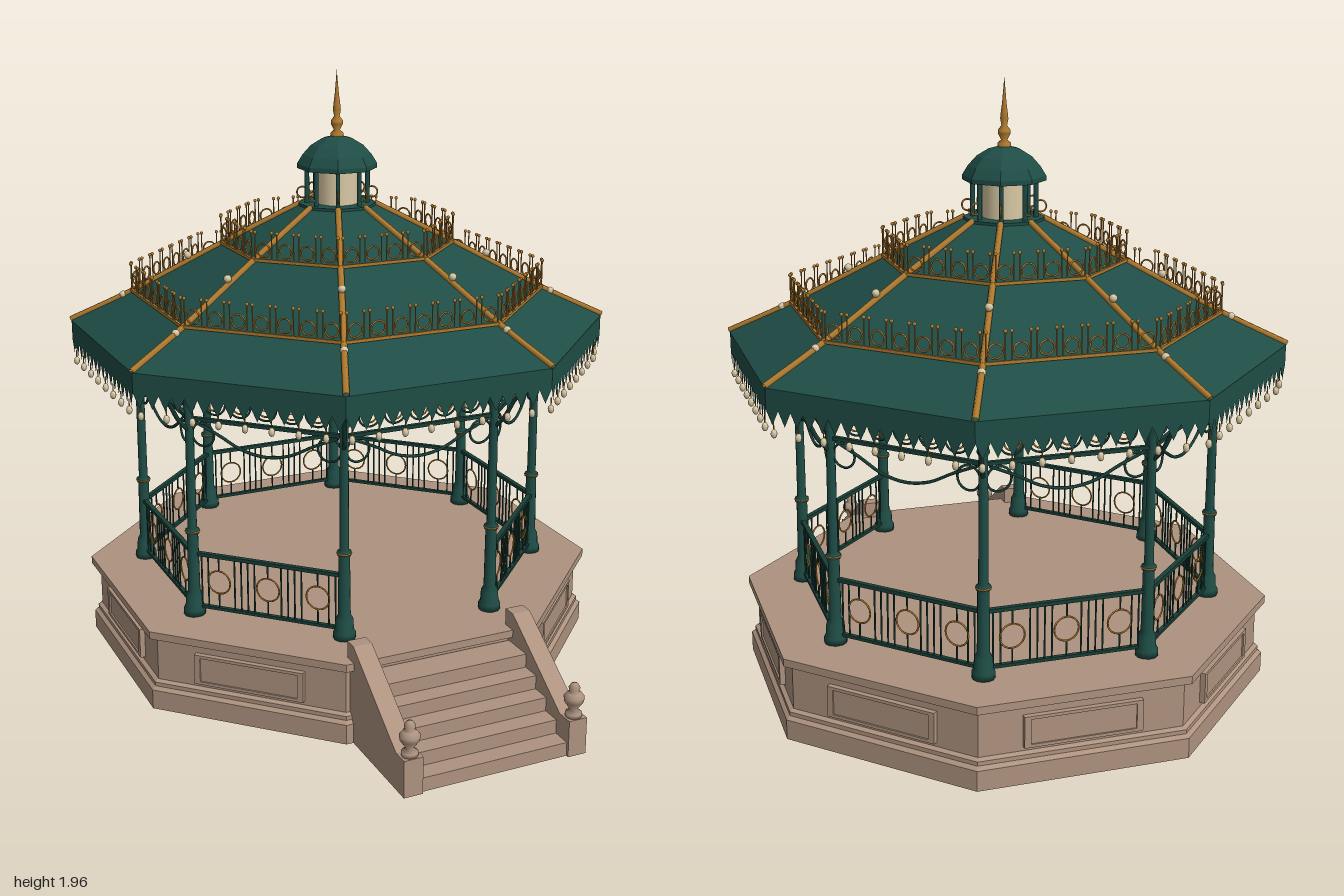
import * as THREE from 'three';

const mat = (name, color) => new THREE.MeshStandardMaterial({ name, color, side: THREE.DoubleSide });
const stone = mat('stone', 0xae937f);
const green = mat('green paint', 0x1f4d46);
const iron = mat('dark iron', 0x183d36);
const gold = mat('gilding', 0xb07a2e);
const cream = mat('cream glass', 0xd9c9a5);

const SIDES = 8;
const STEP = Math.PI / 4;
const TAN = Math.tan(Math.PI / 8);
const SEC = 1 / Math.cos(Math.PI / 8);
const FLOOR = 0.27;

function add(parent, name, geo, material, x = 0, y = 0, z = 0) {
  const m = new THREE.Mesh(geo, material);
  m.name = name;
  m.position.set(x, y, z);
  parent.add(m);
  return m;
}
const box = (w, h, d) => new THREE.BoxGeometry(w, h, d);
const ball = (r) => new THREE.SphereGeometry(r, 8, 6);
const ring = (r, t) => new THREE.TorusGeometry(r, t, 5, 20);
const rod = (r, h, n = 6) => new THREE.CylinderGeometry(r, r, h, n);
const lathe = (pts, n = 14) => new THREE.LatheGeometry(pts.map(([r, y]) => new THREE.Vector2(r, y)), n);
const tube = (pts, r, n = 16) => new THREE.TubeGeometry(
  new THREE.CatmullRomCurve3(pts.map((p) => new THREE.Vector3(...p))), n, r, 6);

// Faceted octagonal shell; profile given as [apothem, height]
function octagon(pts) {
  const v = pts.map(([a, y]) => new THREE.Vector2(a * SEC, y));
  const g = new THREE.LatheGeometry(v, SIDES, Math.PI / 8).toNonIndexed();
  g.computeVertexNormals();
  return g;
}

// Repeat a part around the octagon, from side number `first`
function around(parent, part, offset = 0, first = 0) {
  for (let k = first; k < SIDES; k++) {
    const c = part.clone();
    c.rotation.y = k * STEP + offset;
    parent.add(c);
  }
}
function group(name) {
  const g = new THREE.Group();
  g.name = name;
  return g;
}

function stairs() {
  const g = group('stairs');
  for (let i = 0; i < 5; i++) {
    const front = 0.98 - 0.063 * i;
    const depth = i === 4 ? front - 0.62 : front - 0.62;
    add(g, 'step', box(0.5, 0.045, depth), stone, 0, 0.0225 + 0.045 * i, front - depth / 2);
  }
  // Sloping cheek walls, profile drawn in z and y
  const s = new THREE.Shape();
  [[-0.595, 0], [-0.99, 0], [-0.99, 0.12], [-0.935, 0.12], [-0.64, 0.325], [-0.595, 0.325]]
    .forEach(([z, y], i) => (i ? s.lineTo(z, y) : s.moveTo(z, y)));
  const cheek = new THREE.ExtrudeGeometry(s, { depth: 0.062, bevelEnabled: false });
  cheek.translate(0, 0, -0.031).rotateY(Math.PI / 2);
  const urn = lathe([[0, 0], [0.026, 0], [0.026, 0.012], [0.012, 0.024], [0.03, 0.05], [0.032, 0.065],
    [0.022, 0.078], [0.014, 0.082], [0.018, 0.095], [0.01, 0.108], [0, 0.112]]);
  for (const x of [-0.277, 0.277]) {
    add(g, 'cheekWall', cheek, stone, x);
    add(g, 'urn', urn, stone, x, 0.12, 0.962);
  }
  return g;
}

function basePanel() {
  const g = group('basePanel');
  add(g, 'panelField', box(0.37, 0.1, 0.02), stone, 0, 0.16, 0.777);
  for (const s of [-1, 1]) {
    add(g, 'panelFrame', box(0.37, 0.01, 0.014), stone, 0, 0.16 + s * 0.045, 0.785);
    add(g, 'panelFrame', box(0.02, 0.1, 0.014), stone, s * 0.175, 0.16, 0.785);
  }
  return g;
}

function column() {
  const g = group('column');
  const R = 0.677;
  add(g, 'columnShaft', lathe([[0, 0.27], [0.036, 0.27], [0.036, 0.29], [0.03, 0.3], [0.028, 0.335], [0.02, 0.35],
    [0.018, 0.545], [0.023, 0.55], [0.023, 0.562], [0.015, 0.567], [0.014, 0.96], [0.02, 0.97], [0.016, 0.985],
    [0.028, 1.03], [0.028, 1.05], [0.018, 1.06], [0.018, 1.18]], 12), green, 0, 0, R);
  add(g, 'columnCollar', ring(0.022, 0.003).rotateX(Math.PI / 2), gold, 0, 0.556, R);
  // Curved eave bracket
  add(g, 'eaveBracket', tube([[0, 0.9, R + 0.01], [0, 0.94, R + 0.045], [0, 1.0, R + 0.08], [0, 1.08, R + 0.15]], 0.007), iron);
  return g;
}

function railing() {
  const g = group('railing');
  const z = 0.625;
  add(g, 'topRail', box(0.5, 0.012, 0.016), iron, 0, 0.48, z);
  add(g, 'bottomRail', box(0.5, 0.01, 0.014), iron, 0, 0.3, z);
  const centres = [-0.17, 0, 0.17];
  for (const x of centres) add(g, 'railRing', ring(0.039, 0.003), gold, x, 0.39, z);
  for (let i = 0; i < 21; i++) {
    const x = -0.23 + i * 0.023;
    if (centres.some((c) => Math.abs(c - x) < 0.036)) continue;
    add(g, 'baluster', rod(0.003, 0.18, 5), iron, x, 0.39, z);
  }
  for (const x of centres) for (const s of [-1, 1])
    add(g, 'ringStub', rod(0.003, 0.05, 5), iron, x, 0.39 + s * 0.065, z);
  return g;
}

function frieze() {
  const g = group('frieze');
  const z = 0.625;
  add(g, 'friezeBeam', box(0.52, 0.035, 0.03), green, 0, 1.06, z);
  add(g, 'friezeBar', box(0.51, 0.012, 0.014), iron, 0, 0.935, z);
  for (let i = -2; i <= 2; i++) {
    add(g, 'friezeRing', ring(0.038, 0.0035), iron, i * 0.086, 0.992, z);
    add(g, 'friezeInnerRing', ring(0.025, 0.003), gold, i * 0.086, 0.992, z);
    add(g, 'friezeBead', ball(0.009), cream, i * 0.086, 0.992, z);
  }
  // Hanging swag between two corner rings
  add(g, 'swag', tube([[-0.24, 0.925, z], [-0.16, 0.89, z], [-0.08, 0.85, z], [0, 0.836, z],
    [0.08, 0.85, z], [0.16, 0.89, z], [0.24, 0.925, z]], 0.005, 24), iron);
  for (const s of [-1, 1]) add(g, 'cornerRing', ring(0.038, 0.004), iron, s * 0.212, 0.885, z);
  return g;
}

// Toothed eave board with hanging drops
function valance() {
  const g = group('valance');
  const a = 0.828, h = a * TAN, teeth = 16, w = (2 * h) / teeth;
  const s = new THREE.Shape();
  s.moveTo(-h, 1.13);
  s.lineTo(-h, 1.065);
  for (let i = 0; i < teeth; i++) {
    s.lineTo(-h + (i + 0.5) * w, 1.02);
    s.lineTo(-h + (i + 1) * w, 1.065);
  }
  s.lineTo(h, 1.13);
  add(g, 'eaveBoard', new THREE.ShapeGeometry(s), green, 0, 0, a);
  for (let i = 0; i < teeth; i += 2) {
    const x = -h + (i + 0.5) * w;
    add(g, 'dropStem', rod(0.002, 0.03, 4), gold, x, 1.015, a - 0.006);
    add(g, 'drop', ball(0.01).scale(1, 1.4, 1), cream, x, 0.993, a - 0.006);
  }
  return g;
}

// One side of an openwork roof crest
function crest(apothem, y, count) {
  const g = group('roofCrest');
  const len = 2 * apothem * TAN, w = len / count;
  add(g, 'crestRail', box(len, 0.01, 0.008), gold, 0, y + 0.008, apothem);
  for (let i = 0; i < count; i++) {
    const x = -len / 2 + (i + 0.5) * w;
    add(g, 'crestRing', ring(0.022, 0.003), gold, x, y + 0.042, apothem);
    for (const s of [-1, 1]) {
      add(g, 'crestSpike', rod(0.0022, 0.09, 4), gold, x + s * w * 0.38, y + 0.05, apothem);
      add(g, 'crestTip', ball(0.006), gold, x + s * w * 0.38, y + 0.098, apothem);
    }
  }
  return g;
}

const ROOF = [[0.83, 1.13], [0.64, 1.225], [0.36, 1.385], [0.115, 1.52]];

function hip() {
  const g = group('hip');
  add(g, 'hipRoll', tube(ROOF.map(([a, y]) => [0, y + 0.004, a * SEC]), 0.01, 18), gold);
  for (const [r, y] of [[0.5, 1.35], [0.72, 1.217]]) add(g, 'hipBead', ball(0.013), cream, 0, y, r);
  return g;
}

function cupola() {
  const g = group('cupola');
  add(g, 'cupolaSill', octagon([[0, 1.505], [0.122, 1.505], [0.122, 1.525], [0, 1.525]]), green);
  add(g, 'cupolaGlass', rod(0.07, 0.125, 16), cream, 0, 1.585);
  const post = group('cupolaPost');
  add(post, 'post', rod(0.008, 0.125), green, 0, 1.585, 0.1);
  add(post, 'postRing', ring(0.018, 0.003).rotateY(Math.PI / 2), gold, 0, 1.56, 0.115);
  around(g, post, Math.PI / 8);
  add(g, 'dome', octagon([[0, 1.64], [0.122, 1.64], [0.122, 1.655], [0.105, 1.685], [0.08, 1.715],
    [0.045, 1.738], [0, 1.75]]), green);
  add(g, 'finial', lathe([[0.02, 1.74], [0.022, 1.755], [0.01, 1.765], [0.02, 1.785], [0.02, 1.795], [0.009, 1.81],
    [0.013, 1.83], [0.011, 1.85], [0.007, 1.88], [0, 1.96]], 12), gold);
  return g;
}

function lantern() {
  const g = group('hangingLantern');
  add(g, 'lanternBowl', lathe([[0, 0.85], [0.03, 0.852], [0.042, 0.875], [0.054, 0.91], [0.05, 0.92], [0.03, 0.935], [0, 0.94]], 8), cream);
  add(g, 'lanternRim', ring(0.053, 0.004).rotateX(Math.PI / 2), gold, 0, 0.912);
  add(g, 'lanternRod', rod(0.004, 0.57), iron, 0, 1.22);
  return g;
}

export function createModel() {
  const model = group('bandstand');
  const hall = group('pavilion');
  hall.position.z = -0.16;
  model.add(hall, stairs());

  // Stone platform
  add(hall, 'platform', octagon([[0, 0], [0.8, 0], [0.8, 0.065], [0.788, 0.075], [0.788, 0.088], [0.775, 0.095],
    [0.775, 0.232], [0.79, 0.24], [0.803, 0.245], [0.803, FLOOR], [0, FLOOR]]), stone);
  around(hall, basePanel(), 0, 1);

  // Columns and ironwork; the front bay stays open for the stairs
  around(hall, column(), Math.PI / 8);
  around(hall, railing(), 0, 1);
  around(hall, frieze());

  // Roof
  add(hall, 'roof', octagon(ROOF), green);
  around(hall, valance());
  around(hall, hip(), Math.PI / 8);
  around(hall, crest(0.64, 1.225, 7));
  around(hall, crest(0.36, 1.385, 4));
  hall.add(cupola(), lantern());
  return model;
}
